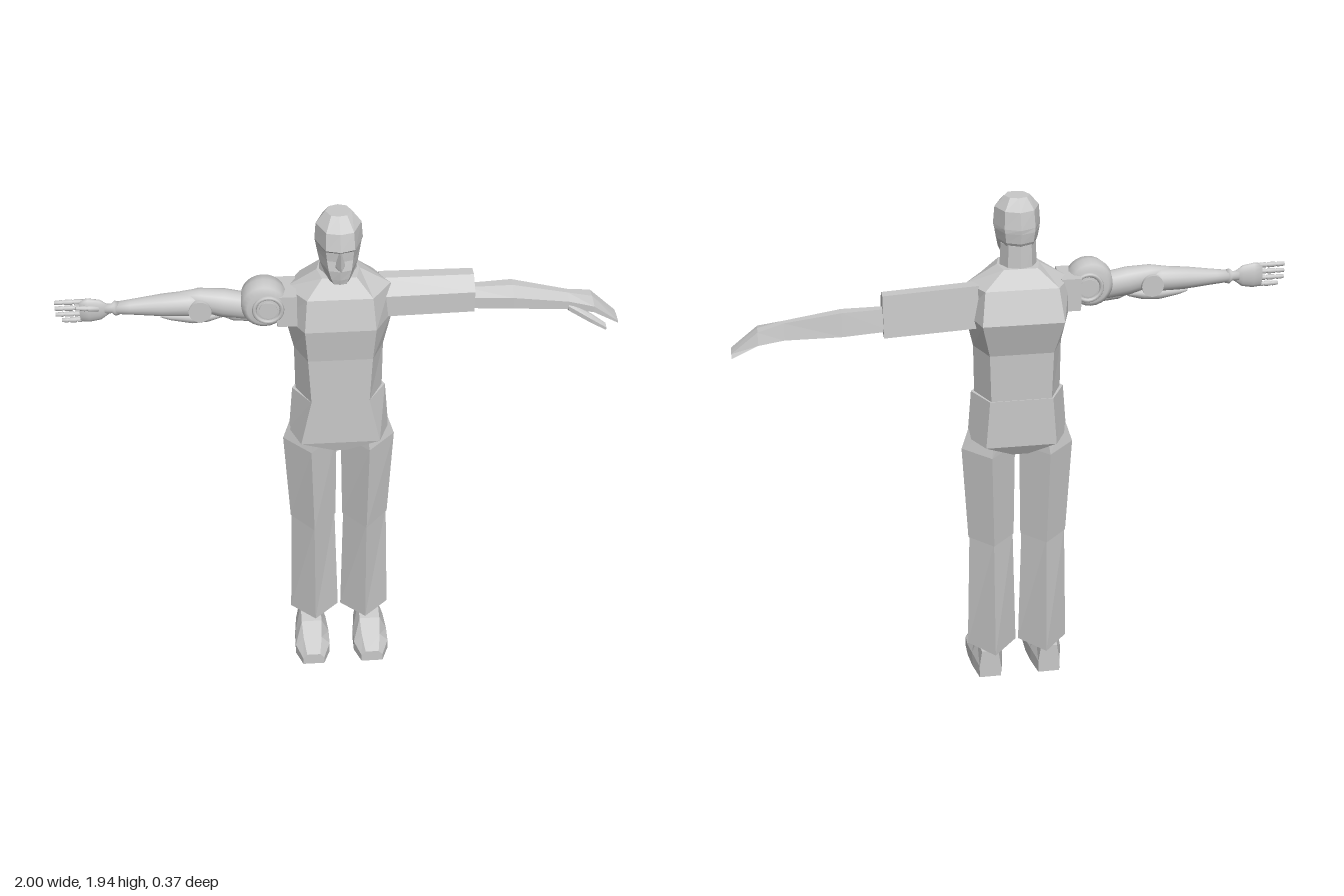
import * as THREE from 'three';

const grey = new THREE.MeshStandardMaterial({ color: 0xc8c8c8 });
grey.name = 'plain grey';
const V = (x, y, z) => new THREE.Vector3(x, y, z);

// Flat-shaded skin over a list of rings with equal point counts, capped at both ends
function loft(name, rings) {
  const tris = [], n = rings[0].length;
  for (let i = 0; i + 1 < rings.length; i++) {
    for (let j = 0; j < n; j++) {
      const k = (j + 1) % n, a = rings[i], b = rings[i + 1];
      tris.push([a[j], a[k], b[k]], [a[j], b[k], b[j]]);
    }
  }
  const first = rings[0], last = rings[rings.length - 1];
  for (let j = 1; j + 1 < n; j++) {
    tris.push([first[0], first[j + 1], first[j]], [last[0], last[j], last[j + 1]]);
  }
  // Turn the faces outwards if the enclosed volume comes out negative
  let volume = 0;
  for (const [a, b, c] of tris) volume += a.dot(b.clone().cross(c));
  const points = tris.flatMap(([a, b, c]) => (volume < 0 ? [a, c, b] : [a, b, c]));
  const geometry = new THREE.BufferGeometry().setFromPoints(points);
  geometry.computeVertexNormals();
  const mesh = new THREE.Mesh(geometry, grey);
  mesh.name = name;
  return mesh;
}

function part(name, geometry, x, y, z) {
  const mesh = new THREE.Mesh(geometry, grey);
  mesh.name = name;
  mesh.position.set(x, y, z);
  return mesh;
}

// Smooth turned rod from a to b; profile is [radius, fraction], depth squashes it in z
function rod(name, a, b, profile, depth = 1) {
  const length = a.distanceTo(b);
  const pts = [[0, profile[0][1]], ...profile, [0, profile[profile.length - 1][1]]]
    .map(([r, t]) => new THREE.Vector2(r, t * length));
  const mesh = part(name, new THREE.LatheGeometry(pts, 16), a.x, a.y, a.z);
  mesh.quaternion.setFromUnitVectors(V(0, 1, 0), b.clone().sub(a).normalize());
  mesh.scale.z = depth;
  return mesh;
}

function buildBody() {
  const body = new THREE.Group();
  body.name = 'body';
  body.position.x = -0.016;

  // Shirt: six-sided rings [y, frontHalf, sideHalf, backHalf, zFront, zBack]
  const hex = ([y, f, s, b, zf, zb]) => {
    const zs = y > 1.6 ? (zf + zb) / 2 : -0.03;
    return [V(f, y, zf), V(s, y, zs), V(b, y, zb), V(-b, y, zb), V(-s, y, zs), V(-f, y, zf)];
  };
  body.add(loft('torso', [
    [1.21, 0.105, 0.158, 0.11, 0.07, -0.135], [1.39, 0.115, 0.16, 0.115, 0.07, -0.14],
    [1.52, 0.125, 0.19, 0.145, 0.085, -0.183], [1.635, 0.115, 0.185, 0.13, 0.06, -0.145],
    [1.70, 0.06, 0.075, 0.06, 0.02, -0.11]].map(hex)));
  body.add(loft('shirtSkirt', [
    [0.98, 0.02, 0.12, 0.03, 0.06, -0.11], [1.025, 0.145, 0.185, 0.13, 0.072, -0.137],
    [1.21, 0.105, 0.17, 0.115, 0.07, -0.138]].map(hex)));

  // Neck and head: eight-sided rings [y, halfWidth, zFront, zBack]
  const oct = ([y, w, zf, zb]) => {
    const zm = (zf + zb) / 2, d = (zf - zb) / 2;
    return [[0, zf], [0.6, zf - 0.15 * d], [1, zm], [0.65, zb + 0.25 * d], [0, zb],
      [-0.65, zb + 0.25 * d], [-1, zm], [-0.6, zf - 0.15 * d]].map(([x, z]) => V(x * w, y, z));
  };
  body.add(loft('neck', [[1.62, 0.07, 0.02, -0.11], [1.78, 0.062, 0.005, -0.105]].map(oct)));
  body.add(loft('head', [
    [1.70, 0.035, 0.065, 0.0], [1.72, 0.05, 0.07, -0.04], [1.755, 0.066, 0.075, -0.09],
    [1.79, 0.074, 0.068, -0.112], [1.825, 0.08, 0.07, -0.116], [1.84, 0.083, 0.09, -0.117],
    [1.90, 0.078, 0.075, -0.105], [1.94, 0.045, 0.02, -0.065]].map(oct)));
  body.add(loft('nose', [[1.767, 0.022, 0.092], [1.775, 0.022, 0.112], [1.83, 0.01, 0.08]]
    .map(([y, w, z]) => [V(-w, y, 0.05), V(0, y, z), V(w, y, 0.05)])));

  for (const side of [1, -1]) {
    const label = side > 0 ? 'left' : 'right';
    // Trousers: diamond sections with a crease in front
    const diamond = ([y, cx, w, zf, zb]) => [V(side * cx, y, zf), V(side * cx + w, y, -0.033),
      V(side * cx, y, zb), V(side * cx - w, y, -0.033)];
    body.add(loft(label + 'Thigh', [[0.60, 0.1, 0.087, 0.067, -0.12],
      [0.98, 0.108, 0.1, 0.07, -0.135], [1.08, 0.095, 0.08, 0.05, -0.11]].map(diamond)));
    body.add(loft(label + 'Shin', [[0.12, 0.1, 0.095, 0.053, -0.14],
      [0.61, 0.1, 0.083, 0.06, -0.112]].map(diamond)));

    // Shoe: sections from heel to toe [z, halfWidth, topHalf, sideHeight, height]
    body.add(loft(label + 'Shoe', [[-0.105, 0.042, 0.032, 0.05, 0.12], [-0.02, 0.06, 0.04, 0.06, 0.125],
      [0.055, 0.068, 0.04, 0.05, 0.11], [0.12, 0.068, 0.036, 0.045, 0.08], [0.185, 0.042, 0.026, 0.03, 0.05]]
      .map(([z, w, t, m, h]) => [[w, 0], [w, m], [t, h], [-t, h], [-w, m], [-w, 0]]
        .map(([x, y]) => V(side * 0.117 + x, y, z)))));
  }
  return body;
}

// Natural arm with sleeve, forearm and mitten hand
function buildLeftArm() {
  const arm = new THREE.Group();
  arm.name = 'leftArm';
  // Six-sided sections [x, yBottom, yTop, zBack, zFront]
  const section = ([x, y0, y1, z0, z1]) => {
    const zm = (z0 + z1) / 2, h = y1 - y0;
    return [V(x, y1, z0 + 0.01), V(x, y1, zm), V(x, y1 - 0.28 * h, z1),
      V(x, y0 + 0.2 * h, z1), V(x, y0, zm), V(x, y0, z0)];
  };
  arm.add(loft('sleeve', [[0.13, 1.49, 1.645, -0.115, 0.0],
    [0.468, 1.48, 1.633, -0.13, -0.025]].map(section)));
  arm.add(loft('forearm', [[0.44, 1.50, 1.58, -0.115, -0.04], [0.61, 1.495, 1.58, -0.13, -0.03],
    [0.81, 1.485, 1.545, -0.105, -0.035]].map(section)));
  arm.add(loft('hand', [[0.81, 1.485, 1.545, -0.105, -0.035], [0.90, 1.48, 1.525, -0.125, -0.02],
    [0.995, 1.43, 1.445, -0.11, -0.03]].map(section)));
  arm.add(loft('thumb', [[0.81, 1.487, 1.52, -0.06, -0.03], [0.89, 1.455, 1.485, -0.03, 0.01],
    [0.94, 1.435, 1.455, -0.01, 0.022]].map(section)));
  return arm;
}

// Mechanical arm of turned, rounded pieces
function buildRightArm() {
  const arm = new THREE.Group();
  arm.name = 'rightMechanicalArm';
  arm.add(part('shoulderMount', new THREE.BoxGeometry(0.07, 0.12, 0.14), -0.20, 1.585, -0.025));

  // Rounded shoulder puck with a rim and hub on each face
  const puck = part('shoulderPuck', new THREE.LatheGeometry([[0, -0.06], [0.06, -0.06], [0.078, -0.045],
    [0.086, 0], [0.078, 0.045], [0.06, 0.06], [0, 0.06]].map(p => new THREE.Vector2(...p)), 24),
  -0.278, 1.603, -0.01);
  puck.rotation.x = Math.PI / 2;
  arm.add(puck);
  for (const z of [-0.07, 0.05]) {
    arm.add(part('shoulderRim', new THREE.TorusGeometry(0.048, 0.008, 6, 24), -0.265, 1.6, z));
    const hub = part('shoulderHub', new THREE.CylinderGeometry(0.032, 0.032, 0.012, 20), -0.265, 1.6, z);
    hub.rotation.x = Math.PI / 2;
    arm.add(hub);
  }

  // Upper arm, elbow and forearm
  arm.add(rod('upperArm', V(-0.27, 1.57, -0.01), V(-0.57, 1.625, -0.02),
    [[0.035, 0], [0.05, 0.25], [0.052, 0.5], [0.042, 0.78], [0.02, 1]], 0.85));
  arm.add(rod('upperArmBrace', V(-0.28, 1.545, -0.01), V(-0.43, 1.56, -0.01),
    [[0.015, 0], [0.026, 0.3], [0.026, 0.7], [0.012, 1]]));
  const elbow = part('elbowJoint', new THREE.CylinderGeometry(0.04, 0.04, 0.1, 20), -0.50, 1.59, -0.018);
  elbow.rotation.x = Math.PI / 2;
  arm.add(elbow);
  arm.add(rod('elbowGuard', V(-0.42, 1.55, -0.018), V(-0.64, 1.55, -0.018),
    [[0.01, 0], [0.024, 0.25], [0.027, 0.5], [0.014, 0.85], [0.004, 1]], 1.3));
  arm.add(rod('forearm', V(-0.47, 1.60, -0.018), V(-0.79, 1.593, -0.016),
    [[0.032, 0], [0.046, 0.2], [0.04, 0.5], [0.027, 0.85], [0.022, 1]]));
  arm.add(rod('wrist', V(-0.78, 1.592, -0.016), V(-0.83, 1.592, -0.015),
    [[0.025, 0], [0.028, 0.3], [0.018, 0.5], [0.018, 1]], 0.8));

  // Flat palm, four jointed fingers and a thumb
  arm.add(rod('palm', V(-0.815, 1.59, -0.014), V(-0.915, 1.59, -0.013),
    [[0.018, 0], [0.04, 0.3], [0.047, 0.7], [0.044, 1]], 0.4));
  for (let i = 0; i < 4; i++) {
    const y = 1.554 + i * 0.024, tip = i === 0 ? -0.98 : -1;
    arm.add(rod('finger', V(-0.9, y, -0.013), V(tip, y, -0.012),
      [[0.008, 0], [0.01, 0.3], [0.006, 0.35], [0.01, 0.4], [0.009, 0.65], [0.006, 0.7], [0.009, 0.75], [0.007, 1]]));
  }
  arm.add(rod('thumb', V(-0.85, 1.6, -0.005), V(-0.925, 1.615, 0.012),
    [[0.01, 0], [0.011, 0.45], [0.007, 0.52], [0.01, 0.6], [0.006, 1]]));
  return arm;
}

export function createModel() {
  const model = new THREE.Group();
  model.name = 'figure';
  model.add(buildBody(), buildLeftArm(), buildRightArm());
  return model;
}
